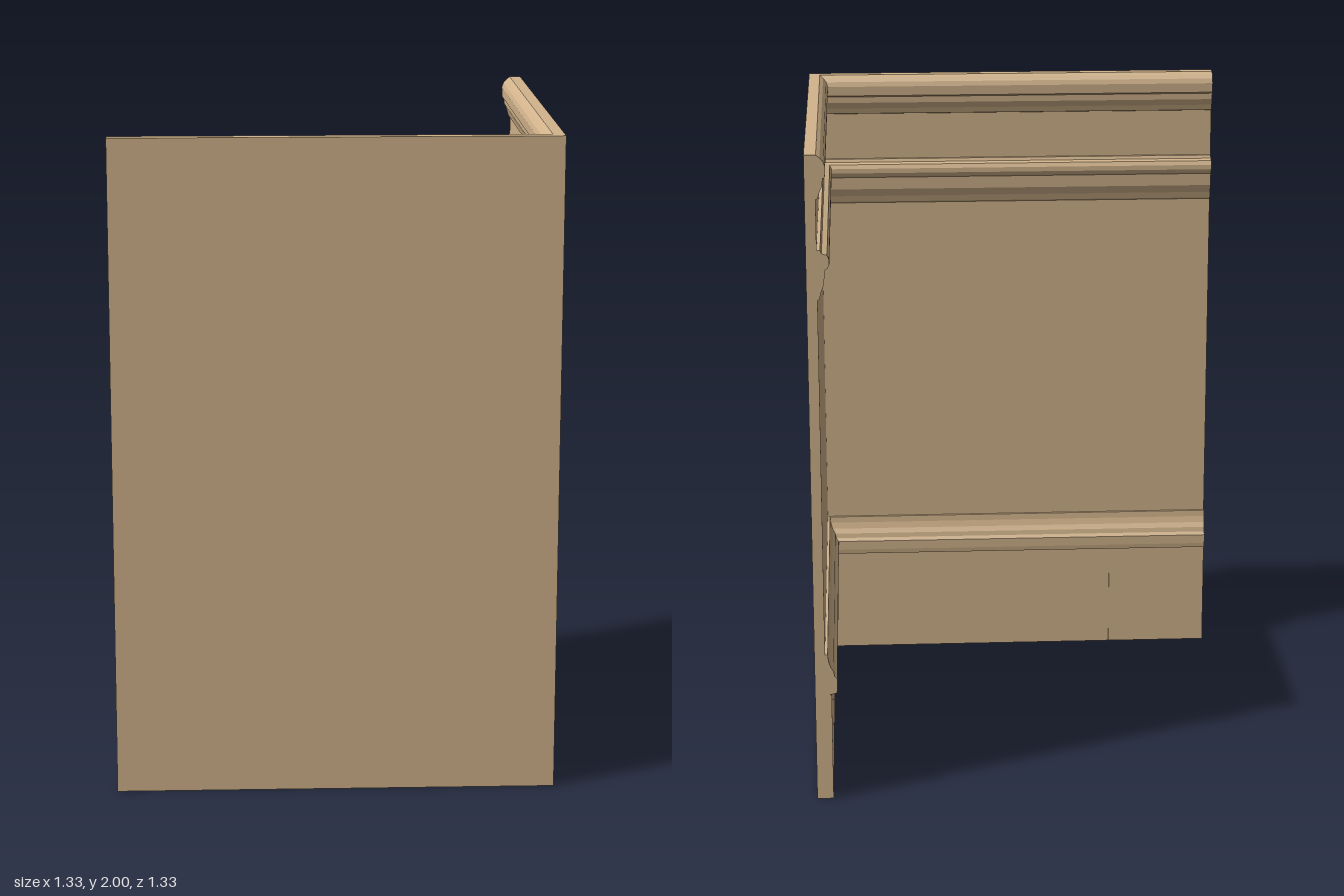
import * as THREE from 'three';

const HALF = 0.665; // half the length of each wall
const HEIGHT = 2;
const wood = new THREE.MeshStandardMaterial({ color: 0xd2b48c, flatShading: true });

// Point on the L-shaped run: s from -1 (free end of front wall) over 0 (corner) to 1 (free end of side wall).
// d is the depth inward from the outer faces; the corner is mitred.
function pointOnRun(s, d, y) {
  const along = HALF * 2 * (1 - Math.abs(s)) - HALF;
  const x = s < 0 ? along : HALF - d;
  const z = s > 0 ? along : HALF - d;
  return [x, y, z];
}

// Sweeps a profile of [depth, height] points, listed from bottom to top, along both walls.
// Stations are [position, depth scale].
function sweep(name, profile, stations = [[-1, 1], [0, 1], [1, 1]]) {
  const n = profile.length;
  const loop = [...profile, [0, profile[n - 1][1]], [0, profile[0][1]]];
  const at = ([s, k], [d, y]) => pointOnRun(s, d * k, y);
  const pos = [];
  const tri = (a, b, c) => pos.push(...a, ...b, ...c);

  // moulded inner surface and plain outer face
  for (let i = 0; i < stations.length - 1; i++) {
    for (let j = 0; j <= n; j++) {
      if (j === n - 1) continue;
      const a = at(stations[i], loop[j]);
      const b = at(stations[i], loop[j + 1]);
      const c = at(stations[i + 1], loop[j + 1]);
      const e = at(stations[i + 1], loop[j]);
      tri(a, b, c);
      tri(a, c, e);
    }
  }

  // cut ends showing the profile
  const contour = loop.map(([d, y]) => new THREE.Vector2(d, y));
  const first = stations[0];
  const last = stations[stations.length - 1];
  for (const [a, b, c] of THREE.ShapeUtils.triangulateShape(contour, [])) {
    tri(at(first, loop[c]), at(first, loop[b]), at(first, loop[a]));
    tri(at(last, loop[a]), at(last, loop[b]), at(last, loop[c]));
  }

  const geometry = new THREE.BufferGeometry();
  geometry.setAttribute('position', new THREE.Float32BufferAttribute(pos, 3));
  geometry.computeVertexNormals();
  const mesh = new THREE.Mesh(geometry, wood);
  mesh.name = name;
  return mesh;
}

export function createModel() {
  const group = new THREE.Group();
  group.name = 'panelledCorner';
  const panel = 0.032;

  // Baseboard with a narrow seam near each free end
  const seam = [[0.747, 1], [0.747, 0.9], [0.753, 0.9], [0.753, 1]];
  const stations = [
    [-1, 1],
    ...seam.map(([s, k]) => [-s, k]).reverse(),
    [0, 1],
    ...seam,
    [1, 1],
  ];
  group.add(sweep('baseboard', [[0, 0], [0.05, 0], [0.05, 0.34]], stations));

  // Sloping cap above the baseboard
  group.add(sweep('baseCap', [
    [0.045, 0.34], [0.066, 0.345], [0.068, 0.36], [0.068, 0.39], [0.06, 0.4],
    [0.057, 0.415], [0.048, 0.43], [0.042, 0.45], [0.04, 0.47], [panel, 0.47],
  ]));

  group.add(sweep('wallPanel', [[panel, 0.47], [panel, 1.57]]));

  // Chair rail: cove, flat band and rounded bead
  group.add(sweep('chairRail', [
    [panel, 1.57], [0.038, 1.575], [0.043, 1.595], [0.052, 1.62], [0.054, 1.66],
    [0.062, 1.665], [0.068, 1.677], [0.068, 1.692], [0.062, 1.705],
    [0.046, 1.71], [0.042, 1.72], [panel, 1.72],
  ]));

  group.add(sweep('frieze', [[panel, 1.72], [panel, 1.87]]));

  // Crown moulding with a rounded upper edge
  group.add(sweep('crownMoulding', [
    [panel, 1.87], [0.038, 1.872], [0.043, 1.89], [0.052, 1.91], [0.053, 1.93],
    [0.06, 1.935], [0.061, 1.965], [0.056, 1.98], [0.046, 1.992],
    [0.035, HEIGHT], [0, HEIGHT],
  ]));

  return group;
}
